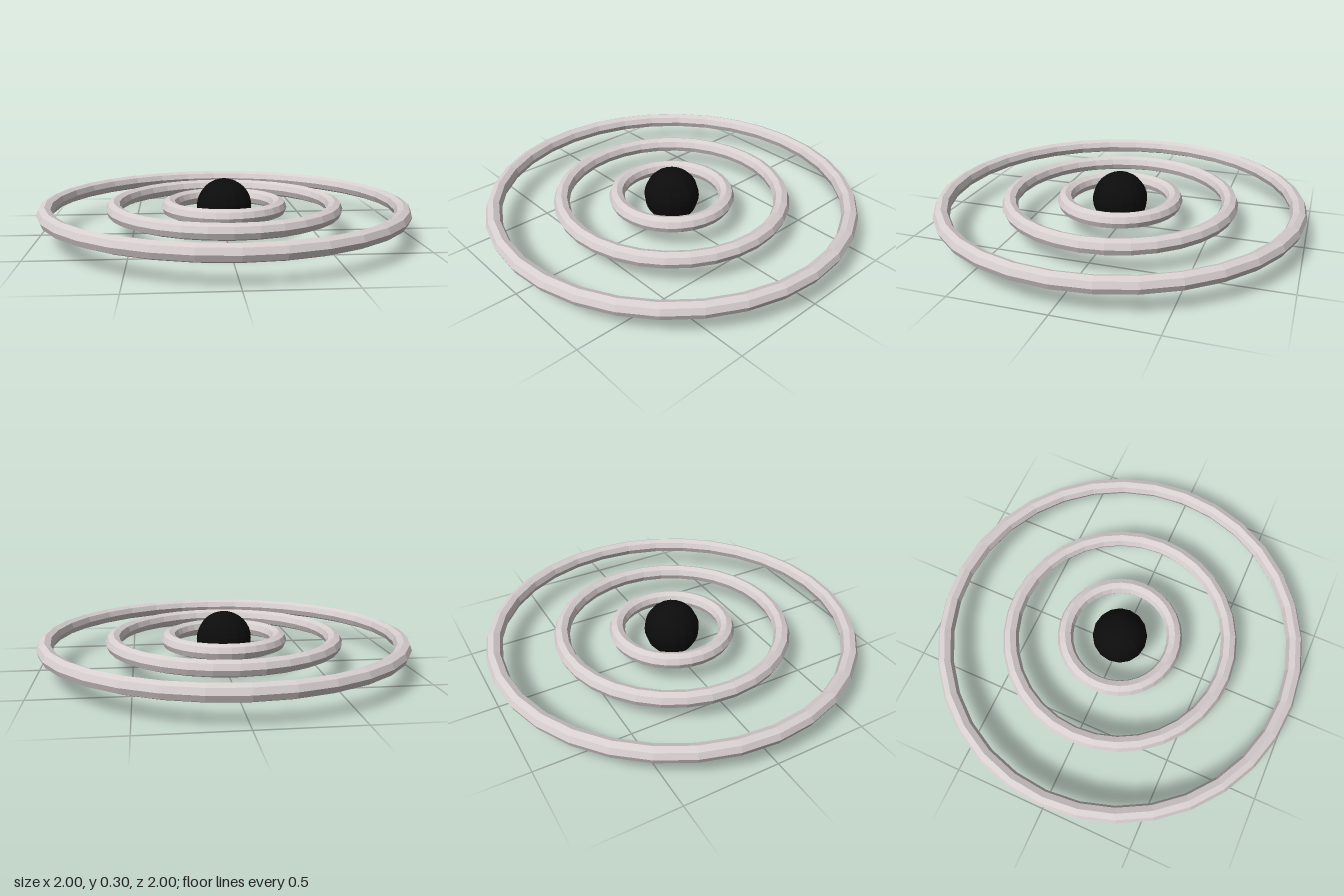
import * as THREE from 'three';

export function createModel() {
  const model = new THREE.Group();
  const centreY = 0.15;
  const tube = 0.043;

  // dark ball in the middle
  const ball = new THREE.Mesh(
    new THREE.SphereGeometry(0.15, 16, 16),
    new THREE.MeshStandardMaterial({ color: 0x0c0c0c, flatShading: true })
  );
  ball.name = 'centreBall';
  ball.position.y = centreY;
  model.add(ball);

  // three flat-lying concentric rings with octagonal section
  const ringMaterial = new THREE.MeshStandardMaterial({ color: 0xd8cfcf, flatShading: true });
  const rings = { innerRing: 0.3, middleRing: 0.6, outerRing: 0.957 };
  for (const [name, radius] of Object.entries(rings)) {
    const geometry = new THREE.TorusGeometry(radius, tube, 8, 32);
    geometry.rotateX(-Math.PI / 2);
    const ring = new THREE.Mesh(geometry, ringMaterial);
    ring.name = name;
    ring.position.y = centreY;
    model.add(ring);
  }

  return model;
}
